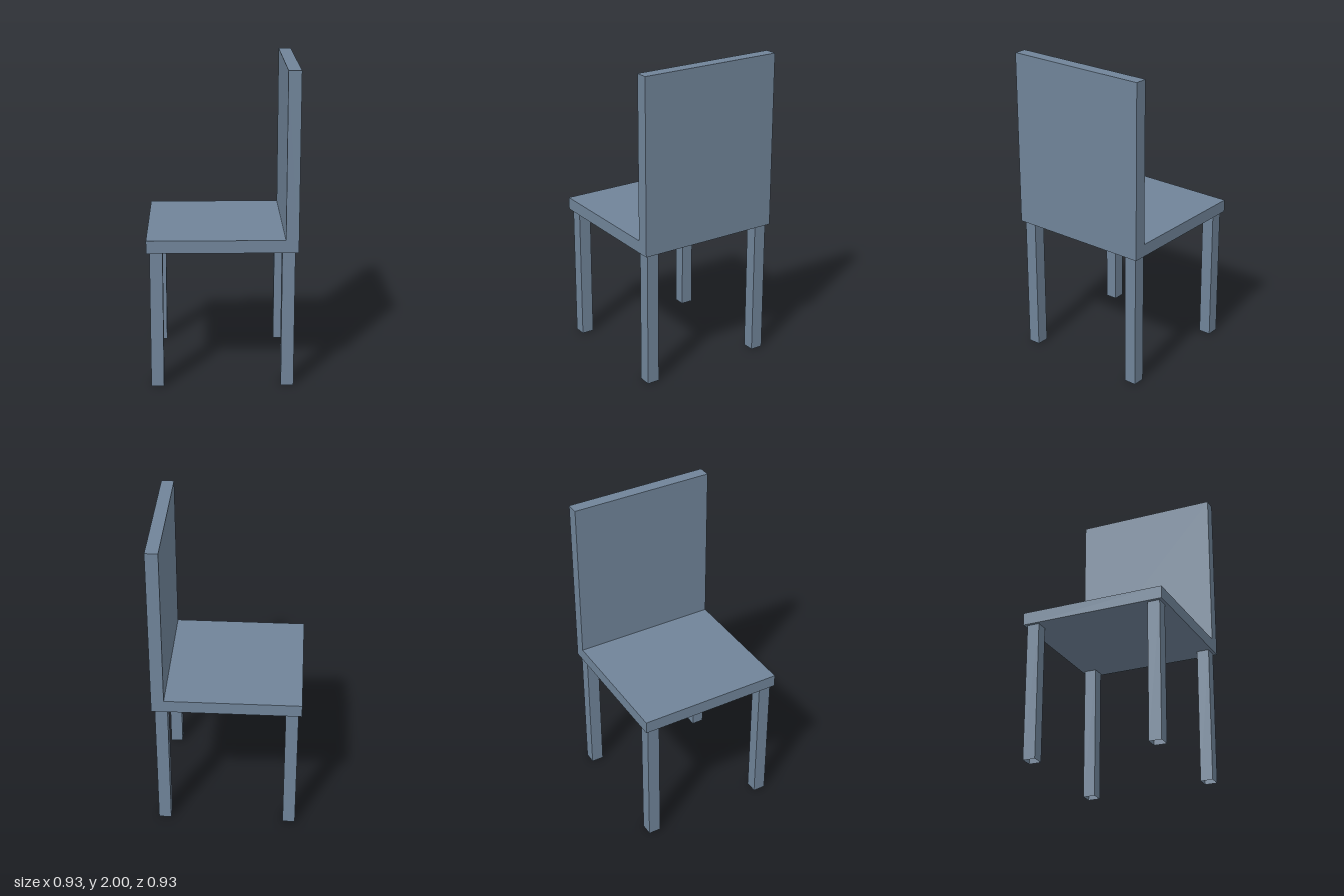
import * as THREE from 'three';

export function createModel() {
  const model = new THREE.Group();
  model.name = 'chair';
  const slateBlue = new THREE.MeshStandardMaterial({ color: 0x708499, side: THREE.DoubleSide });
  slateBlue.name = 'slateBlue';

  const half = 0.467;       // half width and half depth
  const board = 0.08;       // thickness of seat, backrest and legs
  const seatBottom = 0.88;
  const seatTop = seatBottom + board;

  // Seat and backrest: one L-shaped profile, extruded along z
  const profile = new THREE.Shape([
    new THREE.Vector2(-half, seatBottom),
    new THREE.Vector2(half, seatBottom),
    new THREE.Vector2(half, 2),
    new THREE.Vector2(half - board, 2),
    new THREE.Vector2(half - board, seatTop),
    new THREE.Vector2(-half, seatTop),
  ]);
  const seatGeometry = new THREE.ExtrudeGeometry(profile, { depth: 2 * half, bevelEnabled: false });
  seatGeometry.translate(0, 0, -half);
  const seat = new THREE.Mesh(seatGeometry, slateBlue);
  seat.name = 'seatAndBackrest';
  model.add(seat);

  // Legs: square tubes, open at the ends
  const legGeometry = new THREE.CylinderGeometry(
    board / Math.SQRT2, board / Math.SQRT2, seatBottom, 4, 1, true
  ).rotateY(Math.PI / 4).toNonIndexed();
  legGeometry.computeVertexNormals();
  const legOffset = 0.407;
  for (const x of [-1, 1]) {
    for (const z of [-1, 1]) {
      const leg = new THREE.Mesh(legGeometry, slateBlue);
      leg.name = (z > 0 ? 'front' : 'back') + (x > 0 ? 'Left' : 'Right') + 'Leg';
      leg.position.set(x * legOffset, seatBottom / 2, z * legOffset);
      model.add(leg);
    }
  }
  return model;
}
